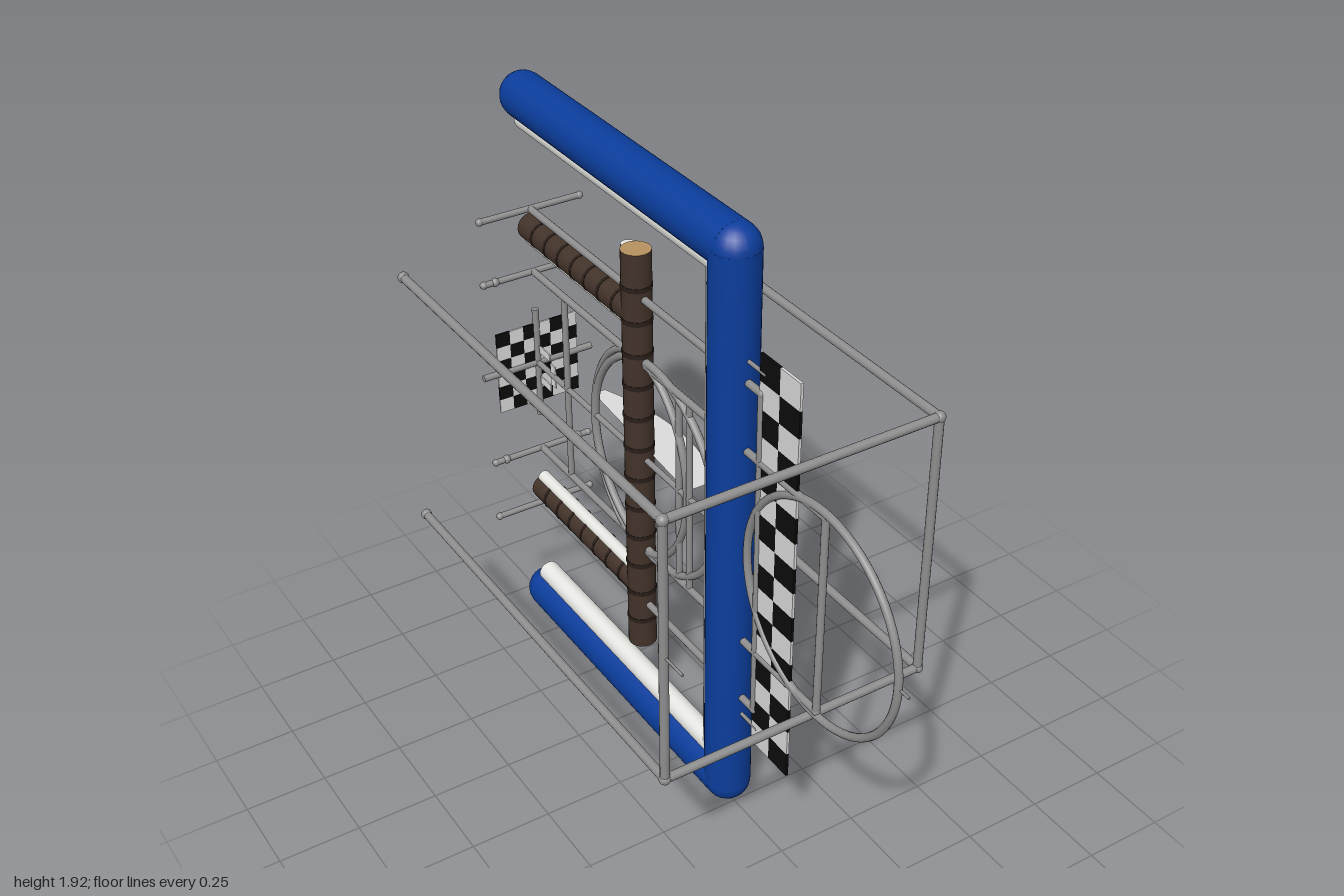
import * as THREE from 'three';

const mat = (name, color, side = THREE.FrontSide) => {
  const m = new THREE.MeshStandardMaterial({ color, side });
  m.name = name;
  return m;
};

export function createModel() {
  const root = new THREE.Group();
  const blue = mat('blue', 0x0b3d9c);
  const steel = mat('steel grey', 0x8e8e8e);
  const white = mat('white', 0xeeeeea);
  const bark = mat('bark brown', 0x43332a);
  const darkBark = mat('dark bark', 0x2a1f19);
  const wood = mat('cut wood', 0xb8925f);
  const rust = mat('rust brown', 0x7a300a);
  const black = mat('black', 0x0c0c0c);
  const pale = mat('pale grey', 0xdcdcdc);

  const group = (name) => {
    const g = new THREE.Group();
    g.name = name;
    root.add(g);
    return g;
  };
  const add = (parent, name, geo, material, pos = [0, 0, 0]) => {
    const m = new THREE.Mesh(geo, material);
    m.name = name;
    m.position.set(...pos);
    parent.add(m);
    return m;
  };
  // Straight round bar from a to b
  const bar = (parent, name, a, b, r, material = steel, sides = 14) => {
    const va = new THREE.Vector3(...a), d = new THREE.Vector3(...b).sub(va);
    const m = add(parent, name, new THREE.CylinderGeometry(r, r, d.length(), sides), material);
    m.position.copy(va).addScaledVector(d, 0.5);
    m.quaternion.setFromUnitVectors(new THREE.Vector3(0, 1, 0), d.normalize());
    return m;
  };
  const ball = (parent, name, pos, r, material = steel) =>
    add(parent, name, new THREE.SphereGeometry(r, 20, 14), material, pos);

  const MID = 0.96;      // height of the mirror plane
  const BACK = -0.88;    // where the long bars end

  // Large blue bracket with a white lining on its inner side
  const bracket = group('blueBracket');
  const R = 0.07, zB = 0.21;
  bar(bracket, 'bracketUpright', [0, R, zB], [0, 1.85, zB], R, blue, 32);
  bar(bracket, 'uprightLining', [0, 0.14, zB - R], [0, 1.78, zB - R], 0.035, white, 20);
  for (const s of [-1, 1]) {
    const y = MID + s * 0.89, yi = y - s * R;
    bar(bracket, 'bracketArm', [0, y, zB], [0, y, BACK], R, blue, 32);
    bar(bracket, 'armLining', [0, yi, zB - R], [0, yi, BACK], 0.035, white, 20);
    for (const z of [zB, BACK]) ball(bracket, 'bracketEnd', [0, y, z], R, blue);
  }

  // Wooden trunk with two branches, ringed bark and white lining
  const tree = group('woodenFork');
  const log = (name, a, b, r, n) => {
    bar(tree, name, a, b, r, [bark, wood, wood], 20);
    const va = new THREE.Vector3(...a), vb = new THREE.Vector3(...b);
    for (let i = 1; i < n; i++) {
      const p = va.clone().lerp(vb, (i - 0.12) / n), q = va.clone().lerp(vb, (i + 0.02) / n);
      bar(tree, 'barkRing', p.toArray(), q.toArray(), r + 0.002, darkBark, 12);
    }
  };
  const zT = -0.27;
  log('trunk', [0, 0.27, zT], [0, 1.63, zT], 0.044, 13);
  bar(tree, 'trunkLining', [0, 0.272, zT - 0.04], [0, 1.628, zT - 0.04], 0.022, white);
  for (const s of [-1, 1]) {
    const y = MID + s * 0.472;
    log('branch', [0, y, zT], [0, y, BACK - 0.004], 0.042, 8);
    bar(tree, 'branchLining', [0, y - s * 0.038, zT], [0, y - s * 0.038, BACK], 0.021, white);
  }

  // Square outer frame with four long arms
  const frame = group('outerFrame');
  const fx = 0.422, fy = 0.423, fz = 0.54, fr = 0.0135;
  for (const s of [-1, 1]) {
    bar(frame, 'frameRail', [-fx, MID + s * fy, fz], [fx, MID + s * fy, fz], fr);
    bar(frame, 'framePost', [s * fx, MID - fy, fz], [s * fx, MID + fy, fz], fr);
    for (const t of [-1, 1]) {
      const y = MID + t * fy;
      bar(frame, 'frameArm', [s * fx, y, fz], [s * fx, y, BACK], fr);
      for (const z of [fz, BACK]) ball(frame, 'frameKnob', [s * fx, y, z], 0.017);
    }
  }
  bar(frame, 'framePin', [-fx, MID, fz], [-fx, MID, 0.63], 0.004, steel, 8);

  // Inner forks lying in the middle plane, each ending in a crossbar
  const forks = group('innerForks');
  for (const [h, z] of [[0.53, 0.34], [0.32, 0.63]]) {
    bar(forks, 'forkPost', [0, MID - h, z], [0, MID + h, z], 0.011);
    for (const s of [-1, 1]) {
      const y = MID + s * h;
      bar(forks, 'forkArm', [0, y, z], [0, y, BACK], 0.011);
      ball(forks, 'forkCorner', [0, y, z], 0.012);
      bar(forks, 'crossbar', [-0.17, y, BACK], [0.17, y, BACK], 0.010);
      for (const t of [-1, 1]) {
        ball(forks, 'crossbarTip', [t * 0.168, y, BACK], 0.012);
        if (h < 0.4) ball(forks, 'crossbarBead', [t * 0.13, y, BACK], 0.014);
      }
    }
  }
  for (const z of [0.0, -0.055, -0.69])
    bar(forks, 'spacerPost', [0, MID - 0.32, z], [0, MID + 0.32, z], 0.010);

  // Central axle with a plus-shaped end
  const axle = group('centralAxle');
  bar(axle, 'axleRod', [0, MID, zB], [0, MID, BACK], 0.009);
  bar(axle, 'plusUpright', [0, 0.77, BACK], [0, 1.15, BACK], 0.011);
  bar(axle, 'plusCrossbar', [-0.19, MID, BACK], [0.19, MID, BACK], 0.011);

  // Rings standing in the middle plane: [centre z, width scale]
  const rings = group('rings');
  for (const [z, w] of [[0.623, 1], [-0.19, 1], [-0.27, 0.77]]) {
    const m = add(rings, 'ring', new THREE.TorusGeometry(0.333, 0.012, 10, 64), steel, [0, MID, z]);
    m.rotation.y = Math.PI / 2;
    m.scale.x = w;
  }
  bar(rings, 'ringPin', [0, MID, 0.96], [0, MID, 1.0], 0.004, steel, 8);

  // Chequered boards
  const tall = group('tallChequeredBoard');
  const cw = 0.0875, ch = 1.3 / 16;
  for (let r = 0; r < 16; r++)
    for (let c = 0; c < 2; c++)
      add(tall, 'boardSquare', new THREE.BoxGeometry(0.008, ch, cw), (r + c) % 2 ? pale : black,
        [0, 1.61 - (r + 0.5) * ch, 0.335 + (c + 0.5) * cw]);
  for (const y of [0.368, 1.554])
    bar(tall, 'boardPin', [0, y, 0.36], [0, y, zB], 0.006, steel, 8);

  const small = group('smallChequeredBoard');
  const q = 0.28 / 6;
  for (let r = 0; r < 6; r++)
    for (let c = 0; c < 6; c++)
      add(small, 'boardSquare', new THREE.BoxGeometry(q, q, 0.006), (r + c) % 2 ? pale : black,
        [-0.14 + (c + 0.5) * q, 1.1 - (r + 0.5) * q, BACK]);

  // Thin pale plates around the rear cross
  const plates = group('rearPlates');
  for (const s of [-1, 1]) {
    add(plates, 'sidePlate', new THREE.BoxGeometry(0.004, 0.075, 0.03), pale, [0, MID, BACK - 0.0025 + s * 0.1025]);
    for (const t of [-1, 1])
      add(plates, 'edgePlate', new THREE.BoxGeometry(0.004, 0.025, 0.064), pale,
        [0, MID + t * 0.055, BACK - 0.0025 + s * 0.052]);
  }

  // Curved flat blade: pale above, rust below
  const blade = group('blade');
  const outline = new THREE.Shape();
  outline.moveTo(0.01, 0.03);
  outline.lineTo(0.11, 0.03);
  outline.quadraticCurveTo(0.215, 0.31, 0.09, 0.62);
  outline.lineTo(0.05, 0.62);
  outline.closePath();
  const flat = new THREE.ShapeGeometry(outline, 10).rotateX(-Math.PI / 2);
  add(blade, 'bladeTop', flat, pale, [0, 0.965, 0]);
  const under = flat.clone();
  under.setIndex(Array.from(flat.index.array).reverse());
  under.computeVertexNormals();
  add(blade, 'bladeUnderside', under, rust, [0, 0.961, 0]);

  return root;
}
